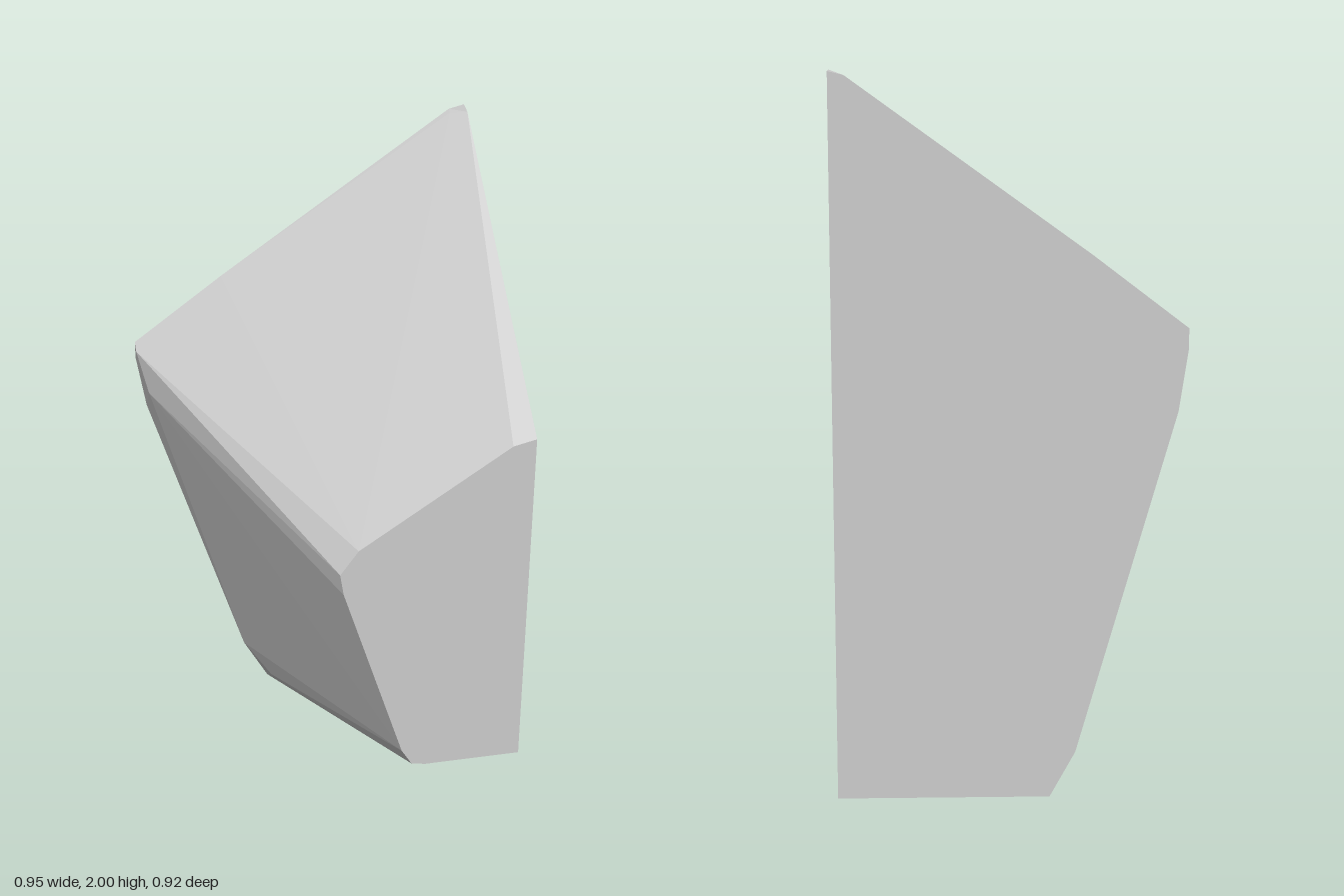
import * as THREE from 'three';
import { ConvexGeometry } from 'three/addons/geometries/ConvexGeometry.js';

// Outlines of the two parallel end faces, as [x, y]
const backOutline = [
  [0.473, 2], [0.43, 1.99], [-0.22, 1.52], [-0.475, 1.325], [-0.475, 1.27],
  [-0.45, 1.1], [-0.18, 0.14], [-0.11, 0.01], [0.473, 0],
];
const frontOutline = [
  [0.473, 1.51], [0.41, 1.495], [0, 1.205], [-0.05, 1.13], [-0.04, 1.06],
  [0.13, 0.46], [0.16, 0.405], [0.2, 0.397], [0.473, 0.395],
];

// Small bevel points just in front of the back rim, as [x, y, z]
const bevel = [
  [0.473, 2, -0.415], [0.43, 1.985, -0.445], [-0.25, 1.49, -0.45],
  [-0.475, 1.31, -0.43], [-0.45, 1.2, -0.375],
  [-0.11, 0.01, -0.44], [-0.11, 0.08, -0.36], [0.473, 0, -0.44],
];

export function createModel() {
  const group = new THREE.Group();
  group.name = 'taperedStone';

  const atDepth = (outline, z) => outline.map(([x, y]) => new THREE.Vector3(x, y, z));
  const points = [
    ...atDepth(backOutline, -0.458),
    ...atDepth(frontOutline, 0.458),
    ...bevel.map((p) => new THREE.Vector3(...p)),
  ];

  // Faceted wedge block with flat back and flat side
  const block = new THREE.Mesh(
    new ConvexGeometry(points),
    new THREE.MeshStandardMaterial({ color: 0xcccccc, flatShading: true }),
  );
  block.name = 'stoneBlock';
  group.add(block);
  return group;
}
